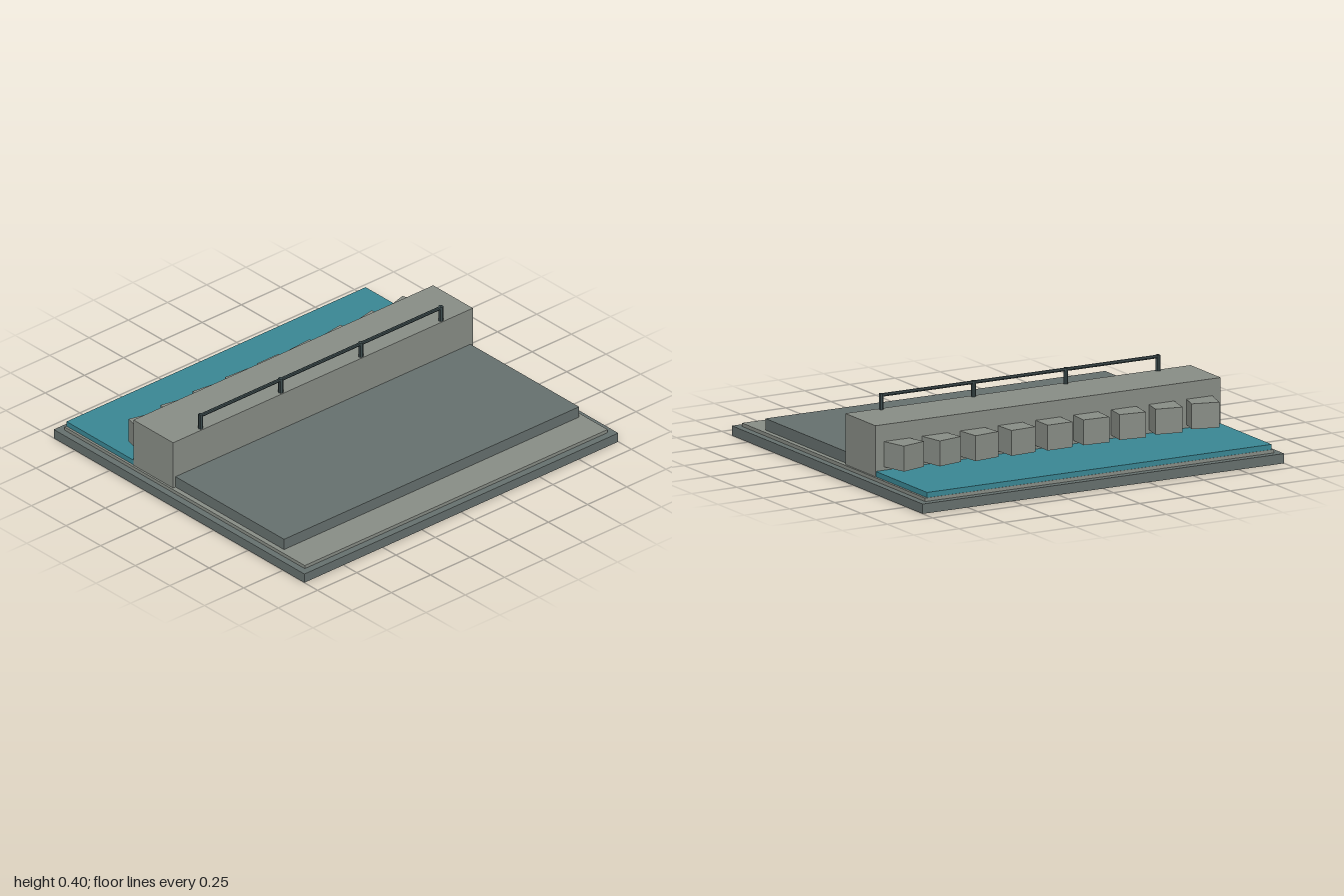
import * as THREE from 'three';

const material = (color) => new THREE.MeshStandardMaterial({ color, flatShading: true });

export function createModel() {
  const model = new THREE.Group();
  model.name = 'dam';
  const stone = material(0x66706e);
  const concrete = material(0x888d86);
  const water = material(0x3a8794);
  const metal = material(0x3b4a4c);

  const add = (name, geometry, mat, x, y, z) => {
    const mesh = new THREE.Mesh(geometry, mat);
    mesh.name = name;
    mesh.position.set(x, y, z);
    model.add(mesh);
    return mesh;
  };

  // Box centred on x, given half width and its y and z ranges
  const slab = (name, mat, halfX, y0, y1, z0, z1) =>
    add(name, new THREE.BoxGeometry(halfX * 2, y1 - y0, z1 - z0), mat, 0, (y0 + y1) / 2, (z0 + z1) / 2);

  // Stepped base, front deck, wall and reservoir
  slab('base', stone, 1, 0, 0.048, -0.905, 0.905);
  slab('plinth', concrete, 0.965, 0.048, 0.065, -0.868, 0.868);
  slab('deck', stone, 0.94, 0.065, 0.122, -0.095, 0.69);
  slab('wall', concrete, 0.955, 0.065, 0.316, -0.38, -0.094);
  slab('water', water, 0.953, 0.065, 0.091, -0.866, -0.38);

  // Row of blocks along the back of the wall, fanned towards the middle
  const blockShape = new THREE.BoxGeometry(0.137, 0.125, 0.16);
  for (let i = -4; i <= 4; i++) {
    add('block', blockShape, concrete, i * 0.207, 0.17, -0.413).rotation.y = i * 0.068;
  }

  // Railing along the front edge of the wall top
  const railZ = -0.11;
  const postShape = new THREE.CylinderGeometry(0.012, 0.012, 0.08, 8);
  for (let i = 0; i < 4; i++) {
    add('railingPost', postShape, metal, -0.765 + i * 0.51, 0.354, railZ);
  }
  const rail = add('handrail', new THREE.CylinderGeometry(0.009, 0.009, 1.54, 8), metal, 0, 0.386, railZ);
  rail.rotation.z = Math.PI / 2;

  return model;
}
